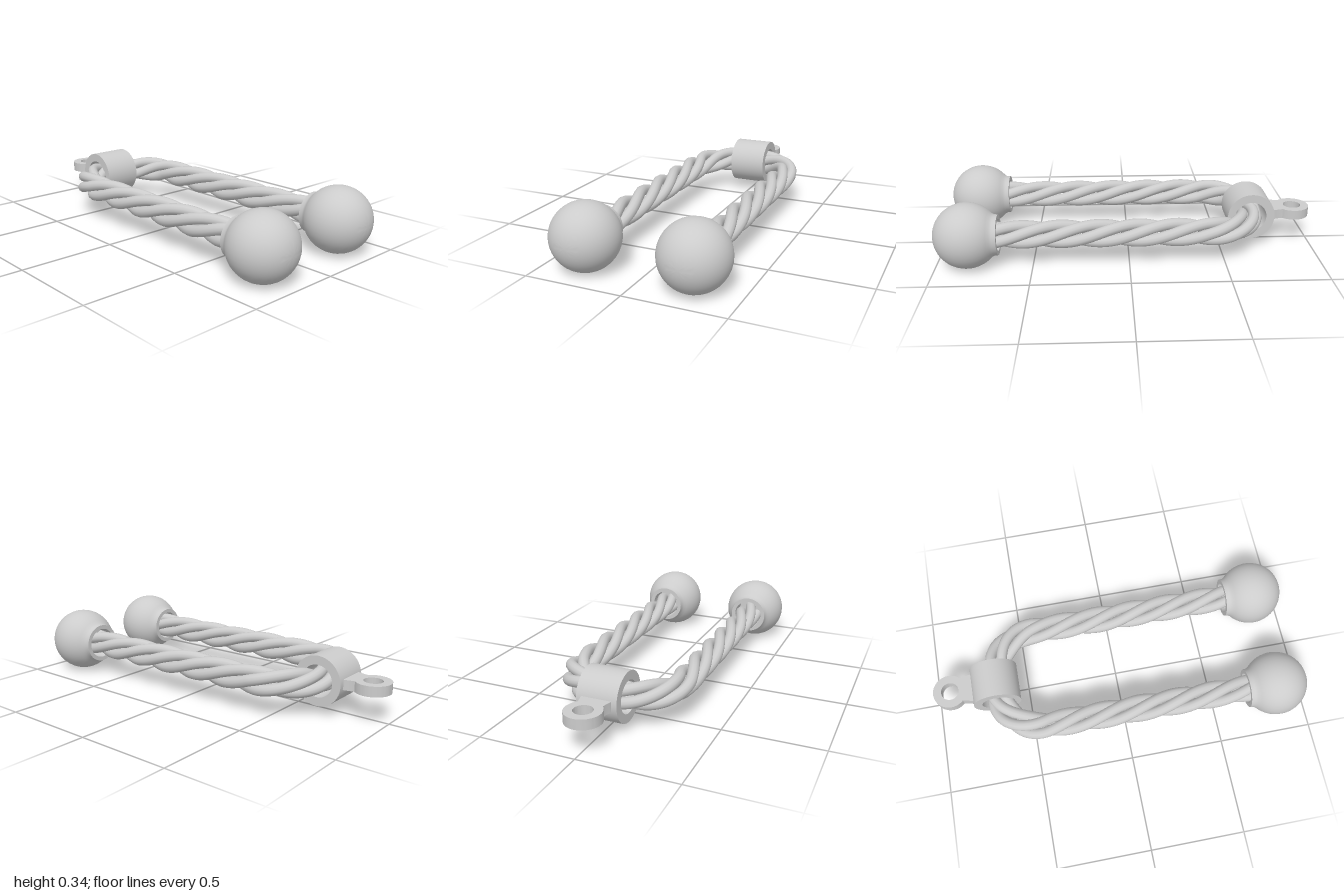
import * as THREE from 'three';
import { toCreasedNormals } from 'three/addons/utils/BufferGeometryUtils.js';

const material = new THREE.MeshStandardMaterial({ color: 0xcccccc });
const AXIS_Y = 0.172; // height of the rope's centre line
const ROPE_X = 0.276;
const CLAMP_Z = -0.665;

function addPart(parent, name, geometry) {
  const mesh = new THREE.Mesh(geometry, material);
  mesh.name = name;
  parent.add(mesh);
  return mesh;
}

// Lathe with crisp edges where the profile turns sharply
function turned(points, sides) {
  const profile = points.map(([r, y]) => new THREE.Vector2(r, y));
  return toCreasedNormals(new THREE.LatheGeometry(profile, sides), 0.6);
}

// Centre line of the U-shaped rope
class RopePath extends THREE.Curve {
  constructor() {
    super();
    const v = (x, z) => new THREE.Vector3(x, AXIS_Y, z);
    const k = 0.56, bend = 0.22, x = ROPE_X, z = CLAMP_Z + 0.01;
    const inner = x - bend, start = z + bend + 0.02;
    this.path = new THREE.CurvePath();
    this.path.add(new THREE.LineCurve3(v(-x, 0.72), v(-x, start)));
    this.path.add(new THREE.CubicBezierCurve3(v(-x, start), v(-x, start - bend * k), v(-inner - bend * k, z), v(-inner, z)));
    this.path.add(new THREE.LineCurve3(v(-inner, z), v(inner, z)));
    this.path.add(new THREE.CubicBezierCurve3(v(inner, z), v(inner + bend * k, z), v(x, start - bend * k), v(x, start)));
    this.path.add(new THREE.LineCurve3(v(x, start), v(x, 0.72)));
  }
  getPoint(t, target = new THREE.Vector3()) {
    return target.copy(this.path.getPointAt(t));
  }
}

// One strand winding around the centre line
class StrandCurve extends THREE.Curve {
  constructor(path, phase, radius, turns) {
    super();
    Object.assign(this, { path, phase, radius, turns });
  }
  getPoint(t, target = new THREE.Vector3()) {
    const tangent = this.path.path.getTangentAt(t);
    const up = new THREE.Vector3(0, 1, 0);
    const side = new THREE.Vector3().crossVectors(tangent, up).normalize();
    const angle = this.phase + t * this.turns * Math.PI * 2;
    return this.path.getPoint(t, target)
      .addScaledVector(up, -Math.cos(angle) * this.radius)
      .addScaledVector(side, Math.sin(angle) * this.radius);
  }
}

function createRope() {
  const rope = new THREE.Group();
  rope.name = 'twistedRope';
  const path = new RopePath();
  const strands = 4;
  for (let i = 0; i < strands; i++) {
    const curve = new StrandCurve(path, (i / strands) * Math.PI * 2, 0.044, 3.9);
    addPart(rope, 'ropeStrand', new THREE.TubeGeometry(curve, 240, 0.029, 12));
  }
  return rope;
}

// Ball stop with a flared neck and a socket for the rope
function createBallStop(x) {
  const profile = [[0, 0.06], [0.082, 0.06], [0.082, 0.16], [0.104, 0.16], [0.106, 0.14], [0.113, 0.127]];
  const startAngle = Math.atan2(0.113, 0.127);
  const steps = 22;
  for (let i = 1; i <= steps; i++) {
    const a = startAngle + (Math.PI - startAngle) * (i / steps);
    profile.push([Math.sin(a) * 0.17, Math.cos(a) * 0.17]);
  }
  const ball = addPart(new THREE.Group(), 'ballStop', turned(profile.reverse(), 40));
  ball.rotation.x = -Math.PI / 2;
  ball.position.set(x, AXIS_Y, 0.83);
  return ball;
}

// Hollow sleeve over the top of the rope
function createClamp() {
  const h = 0.103, outer = 0.127, bore = 0.082;
  const profile = [[bore, -h], [outer, -h], [outer, h], [bore, h], [bore, -h]];
  const clamp = addPart(new THREE.Group(), 'clampSleeve', turned(profile, 48));
  clamp.rotation.z = Math.PI / 2;
  clamp.position.set(0, AXIS_Y, CLAMP_Z);
  return clamp;
}

// Flat eyelet; shape y points to the back
function createEyelet() {
  const centre = 0.908, r = 0.09;
  const shape = new THREE.Shape();
  shape.moveTo(-0.075, 0.77);
  shape.lineTo(0.075, 0.77);
  shape.lineTo(0.075, 0.8);
  const a = -0.78;
  shape.quadraticCurveTo(0.066, 0.825, Math.cos(a) * r, centre + Math.sin(a) * r);
  shape.absarc(0, centre, r, a, Math.PI - a, false);
  shape.quadraticCurveTo(-0.066, 0.825, -0.075, 0.8);
  shape.closePath();
  const hole = new THREE.Path();
  hole.absarc(0, centre, 0.047, 0, Math.PI * 2, true);
  shape.holes.push(hole);
  const geometry = new THREE.ExtrudeGeometry(shape, { depth: 0.052, bevelEnabled: false, curveSegments: 24 });
  const eyelet = addPart(new THREE.Group(), 'eyelet', toCreasedNormals(geometry, 0.6));
  eyelet.rotation.x = -Math.PI / 2;
  eyelet.position.y = AXIS_Y - 0.026;
  return eyelet;
}

export function createModel() {
  const model = new THREE.Group();
  model.name = 'ropeHandle';
  model.add(createRope(), createClamp(), createEyelet());
  for (const side of [-1, 1]) model.add(createBallStop(side * ROPE_X));
  return model;
}
